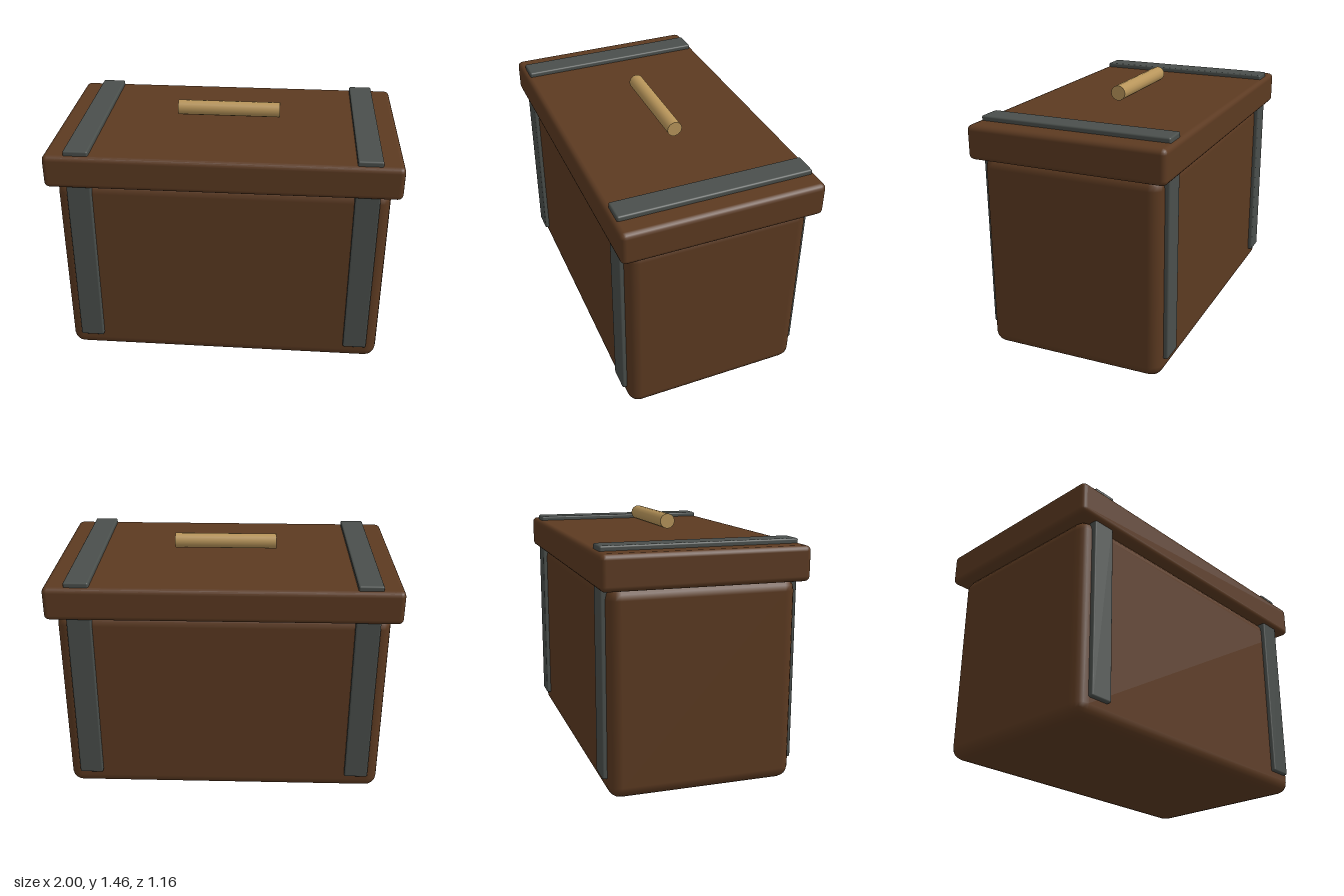
import * as THREE from 'three';
import { RoundedBoxGeometry } from 'three/addons/geometries/RoundedBoxGeometry.js';

const material = (name, color) => {
  const m = new THREE.MeshStandardMaterial({ color });
  m.name = name;
  return m;
};

export function createModel() {
  const group = new THREE.Group();
  group.name = 'chest';
  const wood = material('brown wood', 0x5c3a21);
  const iron = material('dark iron', 0x4a4f4c);
  const brass = material('brass', 0xb8955a);

  const add = (name, geometry, mat, x, y, z) => {
    const mesh = new THREE.Mesh(geometry, mat);
    mesh.name = name;
    mesh.position.set(x, y, z);
    group.add(mesh);
    return mesh;
  };
  const rounded = (w, h, d, r) => new RoundedBoxGeometry(w, h, d, 2, r);

  // Body and overhanging lid
  add('body', rounded(1.894, 1.16, 1.06, 0.07), wood, 0, 0.58, 0);
  add('lid', rounded(2, 0.195, 1.16, 0.03), wood, 0, 1.2425, 0);

  // Straps over the lid and down the front and back
  for (const side of [-1, 1]) {
    const x = side * 0.81;
    const prefix = side > 0 ? 'left' : 'right';
    add(prefix + 'LidStrap', rounded(0.14, 0.05, 1.112, 0.01), iron, x, 1.342, 0);
    add(prefix + 'FrontStrap', rounded(0.14, 1.08, 0.05, 0.01), iron, x, 0.645, 0.531);
    add(prefix + 'BackStrap', rounded(0.14, 1.08, 0.05, 0.01), iron, x, 0.645, -0.531);
  }

  // Round bar handle floating above the lid
  add('handle', new THREE.CylinderGeometry(0.044, 0.044, 0.606, 16), brass, 0, 1.42, 0)
    .rotation.z = Math.PI / 2;

  return group;
}
